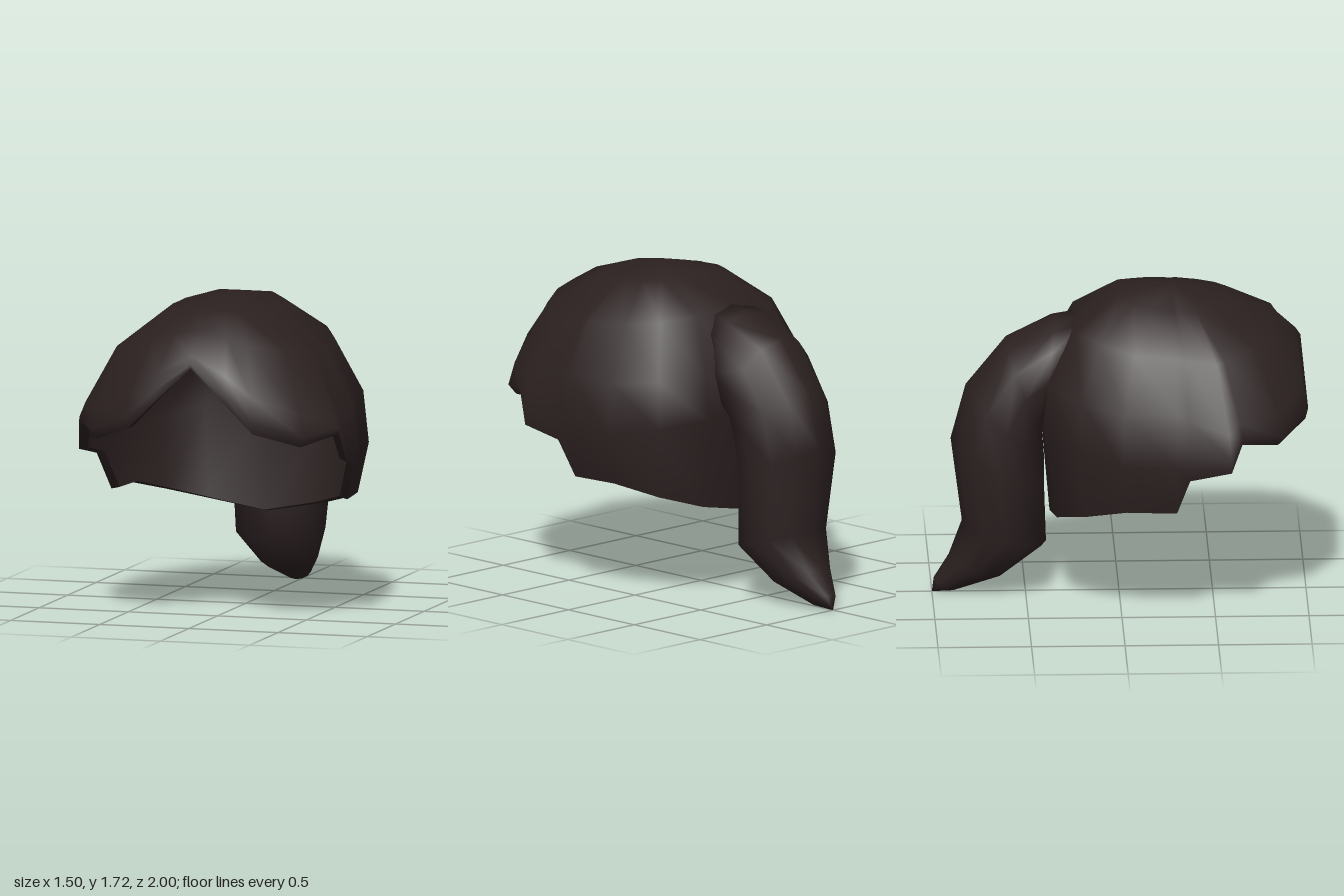
import * as THREE from 'three';
import { mergeVertices } from 'three/addons/utils/BufferGeometryUtils.js';

// Smooth skin over closed loops of points, listed from top to bottom.
function skin(loops) {
  const n = loops[0].length;
  const pos = loops.flat(2);
  const index = [];
  for (let r = 0; r < loops.length - 1; r++) {
    for (let c = 0; c < n; c++) {
      const d = (c + 1) % n;
      const a = r * n + c, b = a + n, e = r * n + d, f = e + n;
      index.push(a, b, f, a, f, e);
    }
  }
  const g = new THREE.BufferGeometry();
  g.setAttribute('position', new THREE.Float32BufferAttribute(pos, 3));
  g.setIndex(index);
  const merged = mergeVertices(g, 1e-4);
  merged.computeVertexNormals();
  return merged;
}

export function createModel() {
  const group = new THREE.Group();
  const hair = new THREE.MeshStandardMaterial({ color: 0x2b2020, side: THREE.DoubleSide });
  hair.name = 'dark brown hair';
  const add = (name, geometry) => {
    const mesh = new THREE.Mesh(geometry, hair);
    mesh.name = name;
    group.add(mesh);
  };

  // Cap strands from front centre to back centre:
  // widest x, z, heights at four radial fractions, hem height, hem fraction
  const strands = [
    [0, 0.97, 1.66, 1.59, 1.46, 1.42, 1.40, 1],
    [0.20, 0.985, 1.66, 1.55, 1.36, 1.27, 1.21, 1],
    [0.36, 1.00, 1.65, 1.51, 1.25, 1.12, 1.06, 0.98],
    [0.60, 0.86, 1.64, 1.48, 1.15, 1.03, 0.98, 0.95],
    [0.73, 0.64, 1.64, 1.44, 1.14, 1.06, 1.03, 0.99],
    [0.75, 0.58, 1.64, 1.43, 1.08, 0.95, 0.88, 1],
    [0.745, 0.36, 1.65, 1.45, 1.16, 0.92, 0.83, 0.97],
    [0.735, 0.29, 1.65, 1.46, 1.20, 0.90, 0.63, 0.90],
    [0.69, 0, 1.66, 1.47, 1.18, 0.90, 0.63, 0.92],
    [0.56, -0.24, 1.67, 1.50, 1.21, 0.95, 0.57, 0.92],
    [0.36, -0.41, 1.69, 1.53, 1.25, 1.00, 0.51, 0.90],
    [0, -0.42, 1.69, 1.54, 1.27, 1.00, 0.45, 0.93],
  ];
  const mirrored = strands.slice(1, -1).reverse().map(([x, ...rest]) => [-x, ...rest]);
  const all = [...strands, ...mirrored];
  const crownZ = 0.28;
  const at = ([x, z], y, f) => [x * f, y, crownZ + (z - crownZ) * f];
  const loops = [all.map(() => [0, 1.72, crownZ])];
  [0.41, 0.75, 0.96, 1].forEach((f, i) => loops.push(all.map(s => at(s, s[2 + i], f))));
  loops.push(all.map(s => at(s, s[6], s[7])));
  add('hairCap', skin(loops));

  // Thin turned-in edge along the hem
  add('hemEdge', skin([
    all.map(s => at(s, s[6], s[7])),
    all.map(s => at(s, s[6] + 0.01, s[7] - 0.06)),
  ]));

  // Ponytail sections: outer z, y, inner z, y, half width, roundness
  const sections = [
    [-0.30, 1.27, -0.30, 1.27, 0, 1],
    [-0.18, 1.56, -0.41, 0.98, 0.21, 0.65],
    [-0.35, 1.53, -0.42, 0.95, 0.28, 0.8],
    [-0.61, 1.42, -0.41, 0.88, 0.285, 1],
    [-0.82, 1.16, -0.40, 0.75, 0.28, 1],
    [-0.90, 0.86, -0.40, 0.58, 0.28, 1],
    [-0.84, 0.40, -0.39, 0.28, 0.25, 1],
    [-0.91, 0.21, -0.62, 0.10, 0.16, 1],
    [-0.99, 0.08, -0.88, 0.01, 0.065, 1],
    [-1.00, 0, -1.00, 0, 0, 1],
  ];
  const sides = 12;
  const bend = (v, p) => Math.sign(v) * Math.abs(v) ** p;
  add('ponytail', skin(sections.map(([oz, oy, iz, iy, w, p]) =>
    Array.from({ length: sides }, (_, i) => {
      const t = (i / sides) * Math.PI * 2;
      const k = bend(Math.sin(t), p) / 2;
      return [w * bend(Math.cos(t), p), (oy + iy) / 2 + (oy - iy) * k, (oz + iz) / 2 + (oz - iz) * k];
    }))));

  return group;
}
